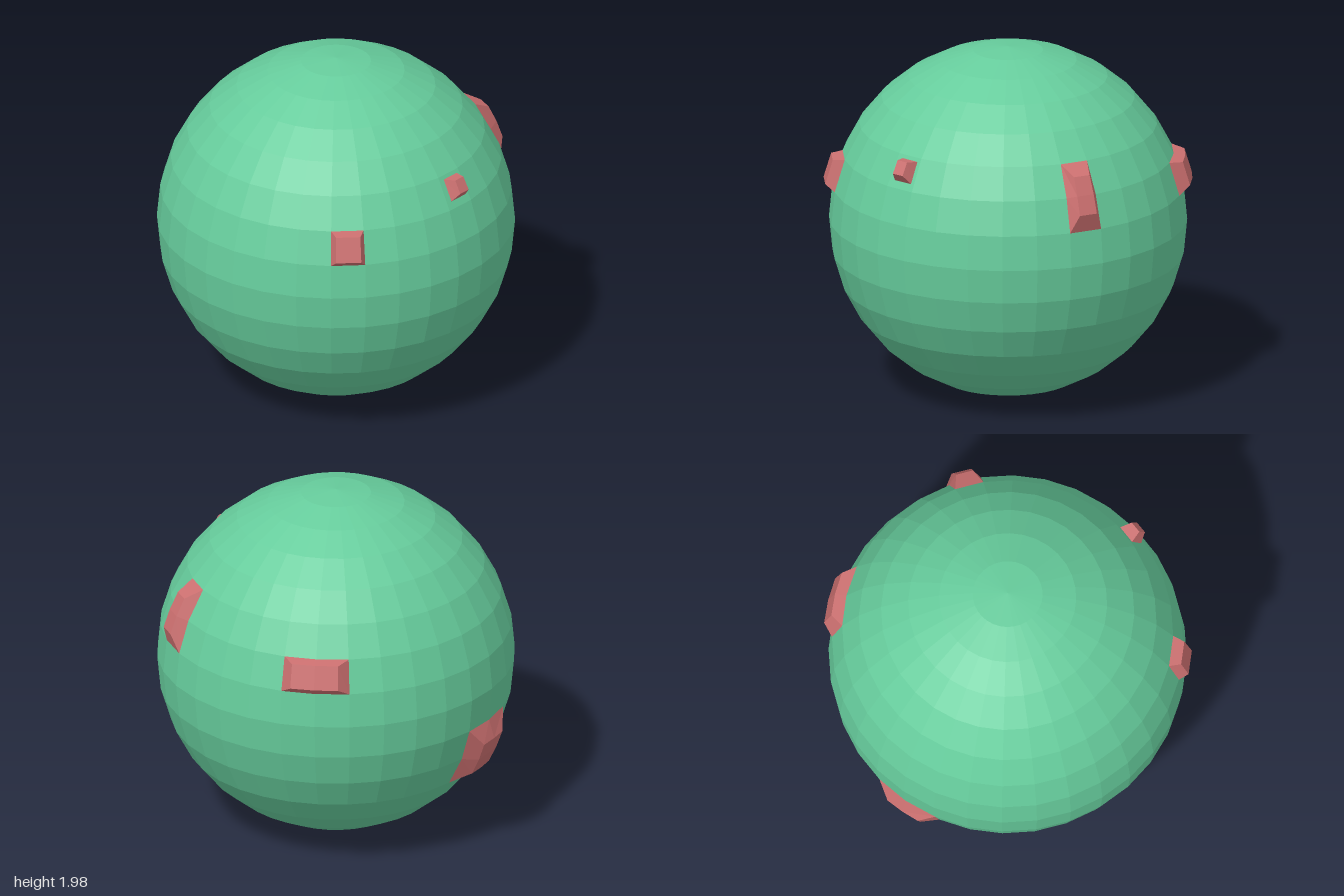
import * as THREE from 'three';

const R = 0.992;          // globe radius
const LID = 1.048;        // radius of the raised tops
const STEP = 11.25;       // angular size of one globe facet

// Point on a sphere: azimuth from +z towards +x, latitude from the equator, in degrees
function onSphere(az, lat, r) {
  const a = THREE.MathUtils.degToRad(az), l = THREE.MathUtils.degToRad(lat);
  return [r * Math.cos(l) * Math.sin(a), r * Math.sin(l), r * Math.cos(l) * Math.cos(a)];
}

// Raised block with bevelled sides, following the facets of the globe
function raisedBlock({ az, lat, cols = 1, rows = 1, span = STEP, taper, base = R }) {
  const pos = [];
  const quad = (a, b, c, d) => pos.push(...a, ...b, ...c, ...a, ...c, ...d);
  const point = (i, j, k, r) => onSphere(
    az + (i / cols - 0.5) * cols * span * k,
    lat + (j / rows - 0.5) * rows * span * k, r);

  // top faces
  for (let i = 0; i < cols; i++) for (let j = 0; j < rows; j++) {
    const p = (di, dj) => point(i + di, j + dj, taper, LID);
    quad(p(0, 0), p(1, 0), p(1, 1), p(0, 1));
  }
  // bevelled sides around the outline
  const loop = [];
  for (let i = 0; i < cols; i++) loop.push([i, 0]);
  for (let j = 0; j < rows; j++) loop.push([cols, j]);
  for (let i = cols; i > 0; i--) loop.push([i, rows]);
  for (let j = rows; j > 0; j--) loop.push([0, j]);
  loop.forEach((s, n) => {
    const e = loop[(n + 1) % loop.length];
    quad(point(...s, 1, base), point(...e, 1, base), point(...e, taper, LID), point(...s, taper, LID));
  });

  const geo = new THREE.BufferGeometry();
  geo.setAttribute('position', new THREE.Float32BufferAttribute(pos, 3));
  geo.computeVertexNormals();
  return geo;
}

export function createModel() {
  const model = new THREE.Group();
  model.name = 'globeWithBlocks';
  const green = new THREE.MeshStandardMaterial({ color: 0x66cc9c, flatShading: true });
  const red = new THREE.MeshStandardMaterial({ color: 0xcc7070, flatShading: true });

  // faceted globe
  const globe = new THREE.Mesh(new THREE.SphereGeometry(R, 32, 16), green);
  globe.name = 'globe';
  model.add(globe);

  // raised blocks scattered over the globe
  const blocks = {
    frontBlock: { az: 28.125, lat: 16.875, taper: 0.7 },
    smallSideBlock: { az: 73.6, lat: 28.8, span: 7.9, taper: 0.55, base: 0.98 },
    tallBackBlock: { az: 140.625, lat: 22.5, rows: 2, taper: 0.53 },
    wideBackBlock: { az: 202.5, lat: 16.875, cols: 2, taper: 0.67 },
    largeSideBlock: { az: 270, lat: -22.5, cols: 2, rows: 2, taper: 0.52 },
  };
  for (const [name, spec] of Object.entries(blocks)) {
    const mesh = new THREE.Mesh(raisedBlock(spec), red);
    mesh.name = name;
    model.add(mesh);
  }

  model.children.forEach((m) => m.position.set(0.004, R, 0));
  return model;
}
